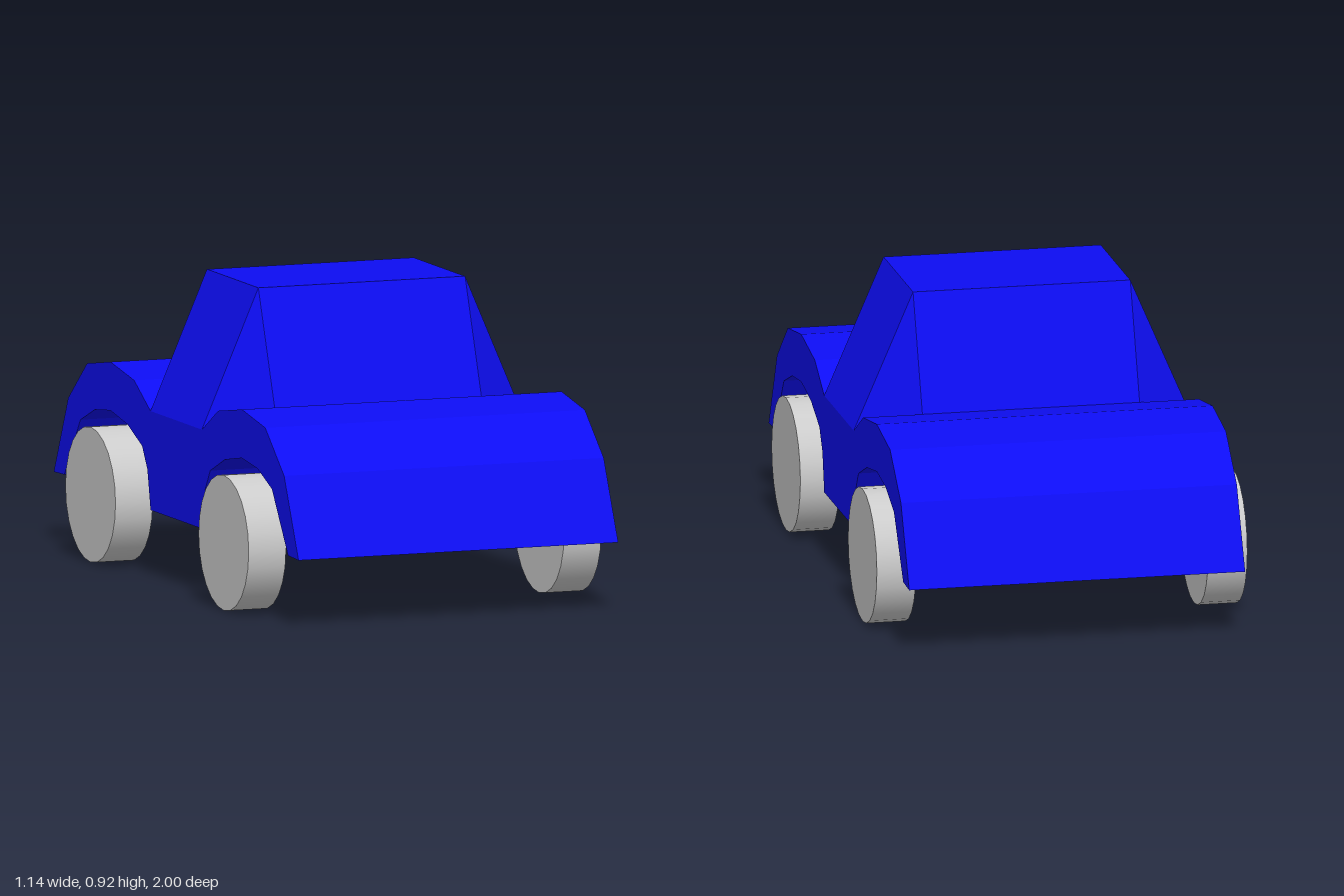
import * as THREE from 'three';
import { ConvexGeometry } from 'three/addons/geometries/ConvexGeometry.js';

const paint = new THREE.MeshStandardMaterial({ color: 0x0d0df2, flatShading: true });
const grey = new THREE.MeshStandardMaterial({ color: 0xcccccc });

// Half side profile [z, y]: along the top from cabin to bumper, back under the arch
const halfProfile = [
  [0.21, 0.5], [0.343, 0.575], [0.537, 0.605], [0.728, 0.575], [0.882, 0.45], [1, 0.21],
  [0.914, 0.213], [0.782, 0.397], [0.665, 0.443], [0.537, 0.458], [0.396, 0.434],
  [0.278, 0.385], [0.235, 0.32], [0.209, 0.2],
];

function add(group, name, geometry, material) {
  const mesh = new THREE.Mesh(geometry, material);
  mesh.name = name;
  group.add(mesh);
  return mesh;
}

export function createModel() {
  const model = new THREE.Group();
  model.name = 'car';

  // Body: floor and curved fenders, one profile extruded across the width
  const mirrored = halfProfile.map(([z, y]) => [-z, y]).reverse();
  const outline = [...halfProfile, ...mirrored].map(([z, y]) => new THREE.Vector2(z, y));
  const width = 1.03;
  const body = new THREE.ExtrudeGeometry(new THREE.Shape(outline), { depth: width, bevelEnabled: false });
  body.rotateY(-Math.PI / 2).translate(0.005 + width / 2, 0, 0);
  add(model, 'body', body, paint);

  // Cabin: tapered, with triangular corner pillars
  const corners = [];
  for (const sx of [-1, 1]) {
    for (const sz of [-1, 1]) {
      corners.push(
        new THREE.Vector3(sx * 0.333 + 0.005, 0.92, sz * 0.21),
        new THREE.Vector3(sx * 0.333 + 0.005, 0.575, sz * 0.343),
        new THREE.Vector3(sx * 0.515 + 0.005, 0.5, sz * 0.21),
      );
    }
  }
  add(model, 'cabin', new ConvexGeometry(corners), paint);

  // Wheels: plain discs
  const wheel = new THREE.CylinderGeometry(0.205, 0.205, 0.12, 24).rotateZ(Math.PI / 2);
  for (const [end, z] of [['front', 0.54], ['back', -0.548]]) {
    for (const [side, x] of [['Left', 0.506], ['Right', -0.51]]) {
      add(model, `${end}${side}Wheel`, wheel, grey).position.set(x, 0.205, z);
    }
  }

  return model;
}
